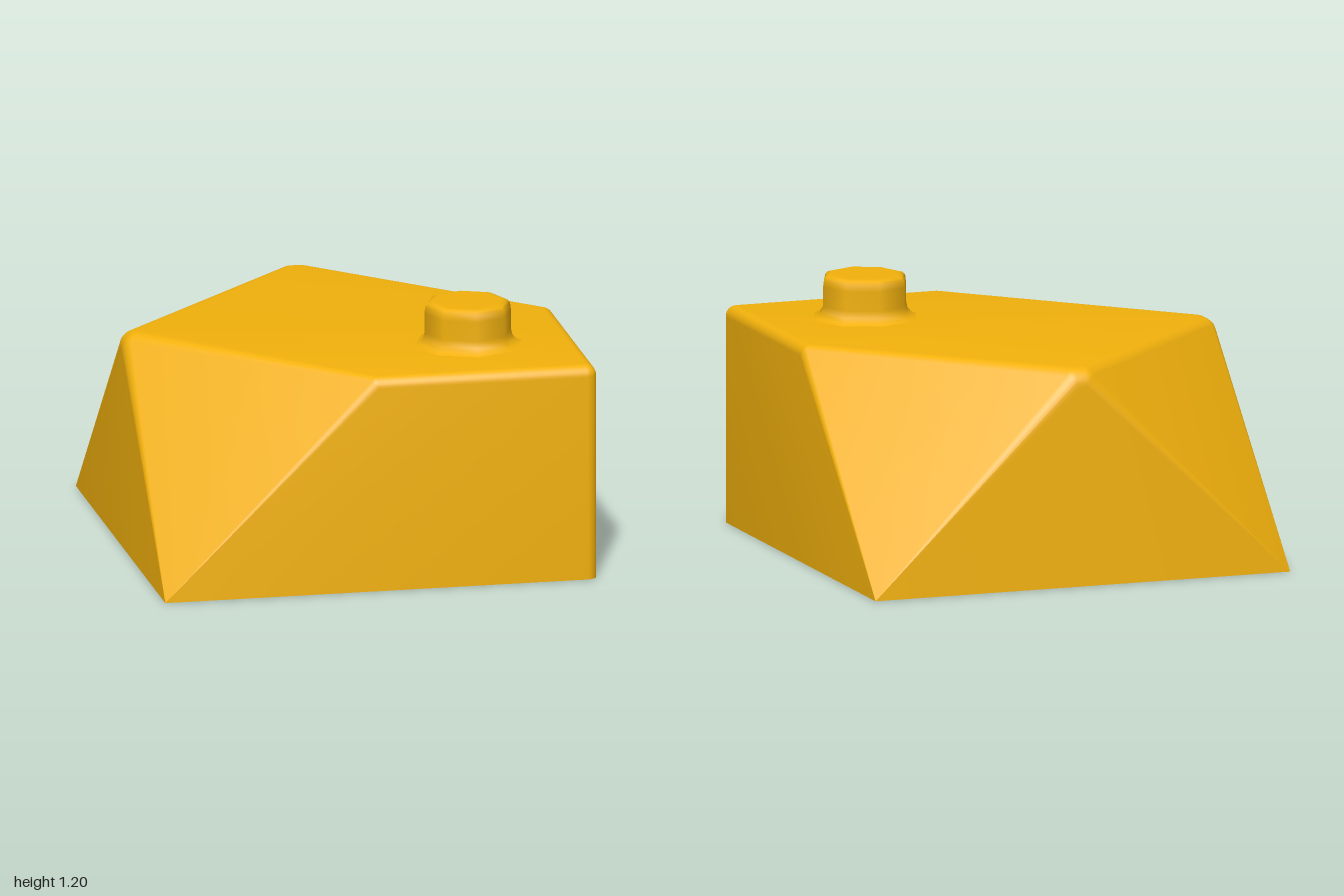
import * as THREE from 'three';
import { ConvexGeometry } from 'three/addons/geometries/ConvexGeometry.js';
import { toCreasedNormals } from 'three/addons/utils/BufferGeometryUtils.js';

const V = (x, y, z) => new THREE.Vector3(x, y, z);
const material = new THREE.MeshStandardMaterial({ color: 0xf2b10c });
const insideMaterial = new THREE.MeshStandardMaterial({ color: 0xf2b10c, side: THREE.DoubleSide });

// The three corners that are cut off by a sloping triangle
const cutCorners = [[-1, 1], [1, -1], [-1, -1]];

// Points of a sphere, plus the exact points where it touches the sloping planes
function ballPoints(center, r) {
  const sphere = new THREE.SphereGeometry(r, 32, 16).getAttribute('position');
  const points = [];
  for (let i = 0; i < sphere.count; i++) {
    points.push(V(0, 0, 0).fromBufferAttribute(sphere, i).add(center));
  }
  for (const [sx, sz] of cutCorners) {
    points.push(V(sx, 1, sz).setLength(r).add(center));
  }
  return points;
}

// Convex hull without its bottom face
function openHull(points) {
  const geometry = new ConvexGeometry(points);
  const p = geometry.getAttribute('position');
  const kept = [];
  for (let i = 0; i < p.count; i += 3) {
    if (Math.max(p.getY(i), p.getY(i + 1), p.getY(i + 2)) < 1e-4) continue;
    for (let k = i; k < i + 3; k++) kept.push(p.getX(k), p.getY(k), p.getZ(k));
  }
  const open = new THREE.BufferGeometry();
  open.setAttribute('position', new THREE.Float32BufferAttribute(kept, 3));
  open.computeVertexNormals();
  return open;
}

// Outer shell: softly rounded top edges tapering to sharp base corners
function outerShell() {
  const r = 0.05;
  const points = ballPoints(V(1 - r, 1 - r, 1 - r), r);
  for (let i = 0; i <= 8; i++) {
    const a = (i / 8) * Math.PI / 2;
    points.push(V(1 - r + r * Math.cos(a), 0, 1 - r + r * Math.sin(a)));
  }
  for (const [sx, sz] of cutCorners) {
    points.push(V(sx, 0, sz));
    const rx = sx < 0 ? 0.08 : r, rz = sz < 0 ? 0.08 : r;
    const slide = 2 - Math.sqrt(3);
    points.push(...ballPoints(V(sx * (1 - rx), 1 - rx, sz * slide * rx), rx));
    points.push(...ballPoints(V(sx * slide * rz, 1 - rz, sz * (1 - rz)), rz));
  }
  return toCreasedNormals(openHull(points), 0.25);
}

// Inner shell: the same solid, smaller and with sharp edges
function innerShell() {
  const w = 0.91, h = 0.9;
  const points = [V(w, 0, w), V(w, h, w), V(w, h, 0), V(-w, h, 0), V(0, h, w), V(0, h, -w)];
  for (const [sx, sz] of cutCorners) points.push(V(sx * w, 0, sz * w));
  return openHull(points);
}

// Flat rim between the shells, facing down
function rimGeometry() {
  const r = 0.05, w = 0.91;
  const shape = new THREE.Shape();
  shape.moveTo(-1, -1).lineTo(1, -1).lineTo(1, 1 - r);
  shape.absarc(1 - r, 1 - r, r, 0, Math.PI / 2, false);
  shape.lineTo(-1, 1);
  const hole = new THREE.Path();
  hole.moveTo(-w, -w).lineTo(-w, w).lineTo(w, w).lineTo(w, -w);
  shape.holes.push(hole);
  return new THREE.ShapeGeometry(shape, 8).rotateX(Math.PI / 2);
}

// Hollow tube whose upper end stays within the roof thickness
function tubeGeometry(x, z) {
  const profile = [[0.15, 0.95], [0.15, 0], [0.2, 0], [0.2, 0.95]];
  const geometry = new THREE.LatheGeometry(profile.map(p => new THREE.Vector2(...p)), 16);
  geometry.translate(x, 0, z);
  const p = geometry.getAttribute('position');
  if (x < 0 || z < 0) {
    for (let i = 0; i < p.count; i++) {
      p.setY(i, Math.min(p.getY(i), 1.9 - Math.abs(p.getX(i)) - Math.abs(p.getZ(i))));
    }
  }
  return toCreasedNormals(geometry, 0.6);
}

export function createModel() {
  const group = new THREE.Group();
  const add = (name, geometry, mat = material) => {
    const mesh = new THREE.Mesh(geometry, mat);
    mesh.name = name;
    group.add(mesh);
    return mesh;
  };

  add('outerShell', outerShell());
  add('innerShell', innerShell(), insideMaterial);
  add('bottomRim', rimGeometry());

  // Eight-sided stud with a flared foot and a rounded top edge
  const studProfile = [[0.25, 1], [0.225, 1.01], [0.207, 1.03], [0.2, 1.06], [0.2, 1.15],
    [0.196, 1.18], [0.185, 1.194], [0.165, 1.2], [0.155, 1.2], [0, 1.2]];
  const stud = new THREE.LatheGeometry(studProfile.map(p => new THREE.Vector2(...p)), 8);
  add('stud', stud).position.set(0.5, 0, 0.5);

  // Four tubes under the roof
  for (const x of [-0.5, 0.5]) {
    for (const z of [-0.5, 0.5]) {
      add(`${z > 0 ? 'front' : 'back'}${x > 0 ? 'Left' : 'Right'}Tube`, tubeGeometry(x, z));
    }
  }
  return group;
}
